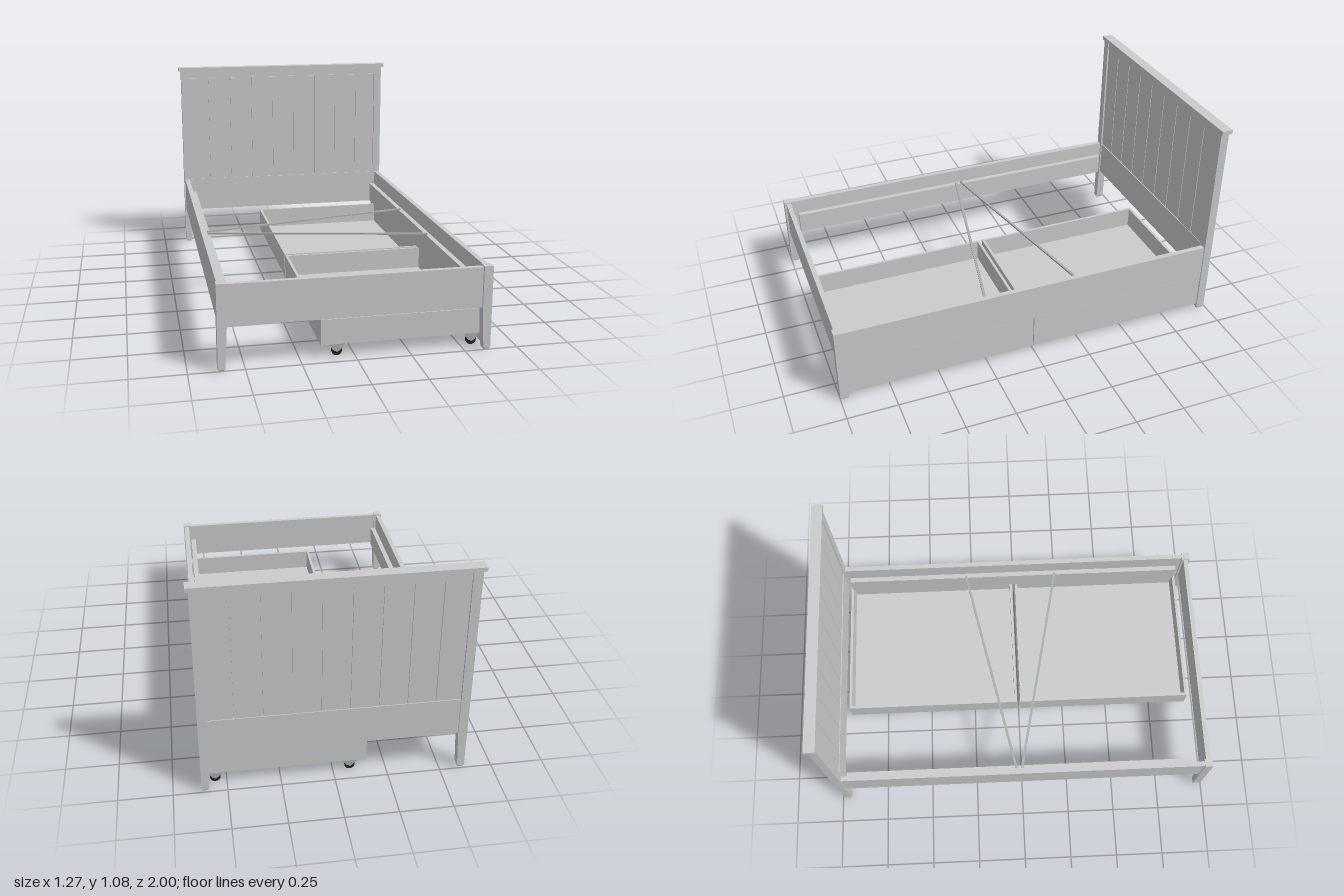
import * as THREE from 'three';

const wood = new THREE.MeshStandardMaterial({ color: 0xcccccc });
const metal = new THREE.MeshStandardMaterial({ color: 0xa9afab });
const rubber = new THREE.MeshStandardMaterial({ color: 0x222222 });

function add(parent, name, geometry, material = wood) {
  const mesh = new THREE.Mesh(geometry, material);
  mesh.name = name;
  parent.add(mesh);
  return mesh;
}

// Box given by its minimum and maximum along each axis
function box(parent, name, [x0, x1], [y0, y1], [z0, z1], material = wood) {
  const mesh = add(parent, name, new THREE.BoxGeometry(x1 - x0, y1 - y0, z1 - z0), material);
  mesh.position.set((x0 + x1) / 2, (y0 + y1) / 2, (z0 + z1) / 2);
  return mesh;
}

function extrude(points, depth) {
  const shape = new THREE.Shape(points.map(([x, y]) => new THREE.Vector2(x, y)));
  return new THREE.ExtrudeGeometry(shape, { depth, bevelEnabled: false });
}

// Post whose inner edge tapers below the rails, with a small glide under it
function leg(parent, name, side, height, z0, z1) {
  const profile = [[0.62, 0.008], [0.62, height], [0.577, height], [0.577, 0.2], [0.587, 0.008]];
  const points = profile.map(([x, y]) => [side * x, y]);
  add(parent, name, extrude(points, z1 - z0)).position.z = z0;
  const xs = [side * 0.59, side * 0.616].sort((a, b) => a - b);
  box(parent, name + 'Glide', xs, [0, 0.008], [z0 + 0.004, z1 - 0.004], metal);
}

function headboard() {
  const g = new THREE.Group();
  g.name = 'headboard';
  for (const side of [-1, 1]) leg(g, 'headboardLeg', side, 1.06, -0.992, -0.95);
  box(g, 'cap', [-0.634, 0.634], [1.06, 1.08], [-1, -0.945]);
  box(g, 'upperRail', [-0.577, 0.577], [1.018, 1.06], [-0.986, -0.956]);
  box(g, 'lowerRail', [-0.577, 0.577], [0.2, 0.392], [-0.986, -0.956]);
  box(g, 'panelCore', [-0.577, 0.577], [0.392, 1.018], [-0.975, -0.967]);
  // Upright planks separated by narrow grooves
  const count = 9, pitch = 1.18 / count;
  for (let i = 0; i < count; i++) {
    const x0 = Math.max(-0.577, -0.59 + i * pitch + 0.002);
    const x1 = Math.min(0.577, -0.59 + (i + 1) * pitch - 0.002);
    box(g, 'plank', [x0, x1], [0.392, 1.016], [-0.982, -0.96]);
  }
  return g;
}

function footboard() {
  const g = new THREE.Group();
  g.name = 'footboard';
  for (const side of [-1, 1]) leg(g, 'footboardLeg', side, 0.398, 0.957, 1);
  box(g, 'footboardPanel', [-0.577, 0.577], [0.2, 0.392], [0.966, 0.99]);
  return g;
}

function sideRail(side) {
  const g = new THREE.Group();
  g.name = side > 0 ? 'leftSideRail' : 'rightSideRail';
  const span = (a, b) => [side * a, side * b].sort((p, q) => p - q);
  box(g, 'rail', span(0.588, 0.614), [0.21, 0.392], [-0.952, 0.96]);
  box(g, 'ledger', span(0.552, 0.578), [0.21, 0.32], [-0.93, 0.93]);
  for (const z of [-0.7, 0, 0.7]) box(g, 'spacer', span(0.576, 0.59), [0.24, 0.29], [z - 0.02, z + 0.02]);
  return g;
}

// Flat diagonal bar resting on both ledgers
function brace(z0, z1) {
  const a = new THREE.Vector2(-0.565, z0), b = new THREE.Vector2(0.56, z1);
  const mesh = new THREE.Mesh(new THREE.BoxGeometry(a.distanceTo(b), 0.008, 0.013), metal);
  mesh.name = 'diagonalBrace';
  mesh.position.set((a.x + b.x) / 2, 0.325, (z0 + z1) / 2);
  mesh.rotation.y = -Math.atan2(z1 - z0, b.x - a.x);
  return mesh;
}

function caster(x, z) {
  const g = new THREE.Group();
  g.name = 'caster';
  g.position.set(x, 0, z);
  box(g, 'mountPlate', [-0.045, 0.045], [0.056, 0.06], [-0.012, 0.012], metal);
  // Pair of fork cheeks beside the wheel
  for (const s of [-1, 1]) {
    const cheek = [[-0.04, 0.057], [-0.012, 0.022], [0.012, 0.022], [0.04, 0.057]];
    add(g, 'fork', extrude(cheek, 0.002), metal).position.z = s * 0.009 - 0.001;
  }
  const wheel = add(g, 'wheel', new THREE.CylinderGeometry(0.024, 0.024, 0.014, 28), rubber);
  const axle = add(g, 'axle', new THREE.CylinderGeometry(0.006, 0.006, 0.024, 14), metal);
  for (const part of [wheel, axle]) {
    part.rotation.x = Math.PI / 2;
    part.position.y = 0.024;
  }
  return g;
}

// Rolling drawer with its tall face on the +x side
function drawer(z0, z1, face) {
  const g = new THREE.Group();
  g.name = 'drawer';
  const t = 0.014;
  box(g, 'drawerFloor', [-0.145, 0.586], [0.06, 0.07], [z0, z1]);
  box(g, 'drawerBack', [-0.156, -0.142], [0.058, 0.18], [z0, z1]);
  box(g, 'drawerSide', [-0.142, 0.586], [0.07, 0.18], [z0, z0 + t]);
  box(g, 'drawerSide', [-0.142, 0.586], [0.07, 0.18], [z1 - t, z1]);
  box(g, 'drawerFace', [0.586, 0.612], [0.026, 0.208], face);
  for (const x of [-0.08, 0.553])
    for (const z of [z0 + 0.022, z1 - 0.022]) g.add(caster(x, z));
  return g;
}

export function createModel() {
  const model = new THREE.Group();
  model.name = 'bedFrame';
  model.add(headboard(), footboard(), sideRail(1), sideRail(-1));
  model.add(brace(-0.03, -0.27), brace(0, 0.235));
  model.add(drawer(-0.946, -0.008, [-0.95, -0.002]), drawer(0.008, 0.946, [0.002, 0.956]));
  return model;
}
